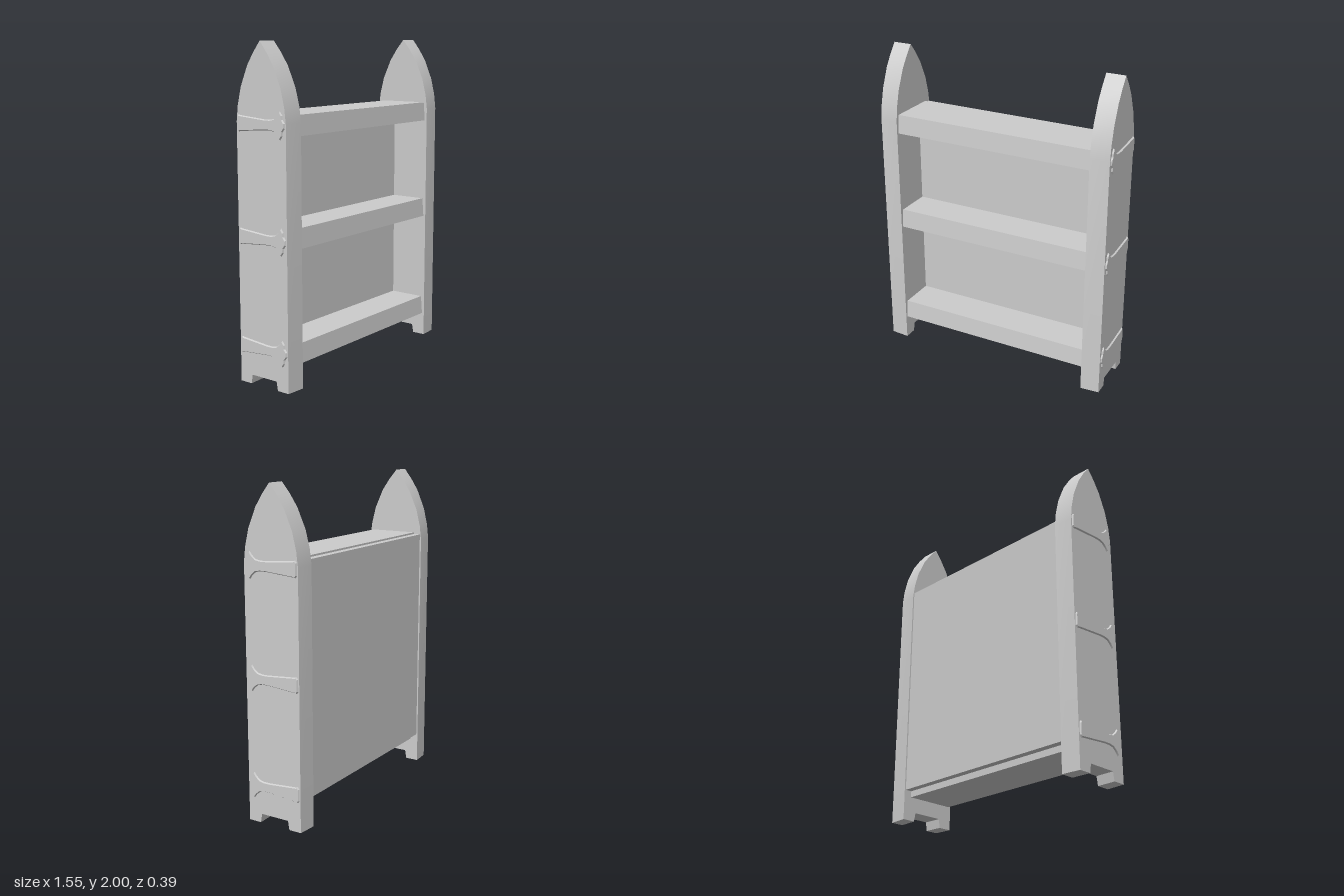
import * as THREE from 'three';
import { toCreasedNormals } from 'three/addons/utils/BufferGeometryUtils.js';

const INNER = 0.647, OUTER = 0.766;

// Extrudes a (z, y) outline outward along x on the given side (+1 or -1).
function extrudeSide(points, side, start, depth, bevelSize = 0, bevelThickness = 0) {
  const shape = new THREE.Shape(points.map(([z, y]) => new THREE.Vector2(-side * z, y)));
  const geo = new THREE.ExtrudeGeometry(shape, {
    depth: depth - bevelThickness, bevelEnabled: bevelSize > 0, bevelThickness,
    bevelSize, bevelOffset: -bevelSize, bevelSegments: 1,
  });
  geo.translate(0, 0, start);
  geo.rotateY(side * Math.PI / 2);
  return geo;
}

// Upright outline: notched foot, straight sides, pointed arch on top.
const HALF_UPRIGHT = [
  [0.098, 0.055], [0.108, 0], [0.193, 0], [0.193, 1.55], [0.182, 1.64],
  [0.155, 1.745], [0.101, 1.865], [0.052, 1.937], [0, 2],
];
const UPRIGHT = [
  ...HALF_UPRIGHT,
  ...HALF_UPRIGHT.slice(0, -1).reverse().map(([z, y]) => [-z, y]),
];

// Upper half of the flared strap, from the front tip to the back end.
const STRAP = [
  [0.178, 0.014], [0.163, 0.034], [0.161, 0.057], [0.143, 0.081], [0.124, 0.056],
  [0.1, 0.037], [0.07, 0.031], [0.03, 0.031], [-0.155, 0.046], [-0.168, 0.05],
  [-0.178, 0.036],
];

export function createModel() {
  const model = new THREE.Group();
  model.name = 'bookcase';
  const grey = new THREE.MeshStandardMaterial({ color: 0xcccccc });
  grey.name = 'plain grey';

  const add = (name, geo) => {
    const mesh = new THREE.Mesh(geo, grey);
    mesh.name = name;
    model.add(mesh);
  };
  const box = (y0, y1, z0, z1) => new THREE.BoxGeometry(INNER * 2, y1 - y0, z1 - z0)
    .translate(0, (y0 + y1) / 2, (z0 + z1) / 2);

  // Shelves, each with a front face leaning back a little at the top
  [['lowerShelf', 0.149, 0.267], ['middleShelf', 0.829, 0.948], ['upperShelf', 1.474, 1.593]]
    .forEach(([name, y0, y1]) => {
      const geo = box(y0, y1, -0.14, 0.178);
      const pos = geo.attributes.position;
      for (let i = 0; i < pos.count; i++) {
        if (pos.getZ(i) > 0 && pos.getY(i) > (y0 + y1) / 2) pos.setZ(i, 0.168);
      }
      geo.computeVertexNormals();
      add(name, geo);
    });

  // Thick back panel, standing slightly proud of the shelves behind
  add('backPanel', box(0.188, 1.582, -0.184, -0.063));

  for (const side of [1, -1]) {
    const label = side > 0 ? 'left' : 'right';

    // Upright, slightly narrower towards its outer face
    const geo = extrudeSide(UPRIGHT, side, INNER, OUTER - INNER);
    const pos = geo.attributes.position;
    for (let i = 0; i < pos.count; i++) {
      const t = (Math.abs(pos.getX(i)) - INNER) / (OUTER - INNER);
      pos.setZ(i, pos.getZ(i) * (1 - 0.045 * t));
    }
    add(label + 'Upright', toCreasedNormals(geo, 0.4));

    // Bevelled straps at each shelf
    [['Lower', 0.231], ['Middle', 0.884], ['Upper', 1.539]].forEach(([level, y]) => {
      const outline = [
        ...STRAP.map(([z, h]) => [z, y + h]),
        ...[...STRAP].reverse().map(([z, h]) => [z, y - h]),
      ];
      const strap = extrudeSide(outline, side, OUTER - 0.002, 0.011, 0.006, 0.01);
      add(label + level + 'Strap', toCreasedNormals(strap, 0.4));
    });
  }
  return model;
}
